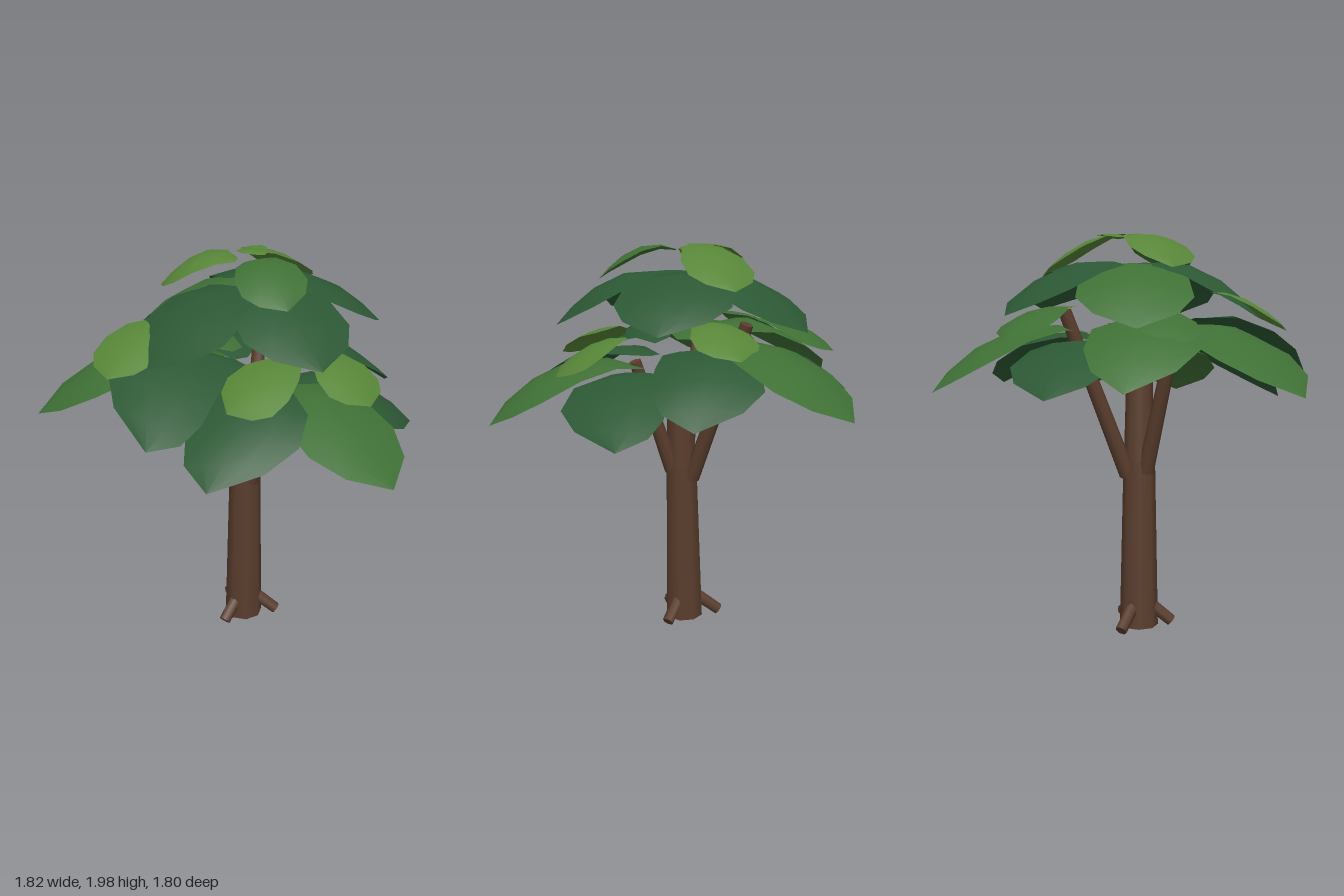
import * as THREE from 'three';

const mat = (color, side = THREE.FrontSide) => new THREE.MeshStandardMaterial({ color, side });
const bark = mat(0x5a3d2d);
const dark = mat(0x2c5834, THREE.DoubleSide);
const mid = mat(0x3f7035, THREE.DoubleSide);
const light = mat(0x578537, THREE.DoubleSide);

// Tapered round limb between two points
function limb(name, from, to, r0, r1, sides = 8) {
  const a = new THREE.Vector3(...from), b = new THREE.Vector3(...to);
  const dir = b.clone().sub(a);
  const mesh = new THREE.Mesh(new THREE.CylinderGeometry(r1, r0, dir.length(), sides), bark);
  mesh.position.copy(a).lerp(b, 0.5);
  mesh.quaternion.setFromUnitVectors(new THREE.Vector3(0, 1, 0), dir.normalize());
  mesh.name = name;
  return mesh;
}

// Pointed leaf: rows of [fraction of length, fraction of half width]
const ROWS = [[0, 0.15], [0.2, 0.62], [0.45, 0.95], [0.69, 1], [0.87, 0.7], [1, 0]];
const COLS = [-1, -0.5, 0, 0.5, 1];

// Leaf arching from base to tip with drooping sides; bend curves it sideways, roll tilts it
function leaf(name, base, tip, width, arch, material, bend = 0, roll = 0) {
  const a = new THREE.Vector3(...base), b = new THREE.Vector3(...tip);
  const across = new THREE.Vector3(b.z - a.z, 0, a.x - b.x).normalize();
  const pos = [], index = [], n = COLS.length;
  ROWS.forEach(([s, w], r) => COLS.forEach((t, c) => {
    const hump = 4 * s * (1 - s);
    const p = a.clone().lerp(b, s).addScaledVector(across, t * w * width + bend * hump);
    p.y += arch * hump - 0.22 * width * (t * w) ** 2 - roll * t * w;
    pos.push(p.x, p.y, p.z);
    if (r && c) {
      const i = r * n + c;
      index.push(i - n - 1, i - 1, i - n, i - n, i - 1, i);
    }
  }));
  const g = new THREE.BufferGeometry();
  g.setAttribute('position', new THREE.Float32BufferAttribute(pos, 3));
  g.setIndex(index);
  g.computeVertexNormals();
  const mesh = new THREE.Mesh(g, material);
  mesh.name = name;
  return mesh;
}

// Ring of leaves; each gives its start (distance from the centre, height), tip, arch, colour, bend, roll
function tier(name, cx, cz, width, list) {
  const group = new THREE.Group();
  group.name = name;
  for (const [offset, y, tip, arch, material, bend, roll] of list) {
    const d = new THREE.Vector2(tip[0] - cx, tip[2] - cz).normalize().multiplyScalar(offset);
    group.add(leaf(name + 'Leaf', [cx + d.x, y, cz + d.y], tip, width, arch, material, bend, roll));
  }
  return group;
}

export function createModel() {
  const tree = new THREE.Group();
  tree.name = 'tree';

  // Trunk and its upper stem
  tree.add(limb('trunk', [-0.068, 0.015, 0.068], [-0.05, 0.87, 0.068], 0.098, 0.08));
  tree.add(limb('upperTrunk', [-0.05, 0.86, 0.068], [-0.037, 1.38, 0.068], 0.078, 0.064));

  // Branches
  for (const [from, to] of [
    [[-0.09, 0.82, 0.1], [-0.245, 1.48, 0.23]],
    [[-0.075, 0.8, 0.01], [-0.2, 1.62, -0.29]],
    [[0.0, 0.84, 0.08], [0.2, 1.42, 0.1]],
  ]) tree.add(limb('branch', from, to, 0.042, 0.032));

  // Roots
  for (const [x, z] of [[-0.23, -0.02], [-0.07, 0.235], [0.085, -0.02]])
    tree.add(limb('root', [-0.068 + (x + 0.068) * 0.3, 0.13, 0.068 + (z - 0.068) * 0.3],
      [x, 0.035, z], 0.033, 0.03, 7));

  // Wide lower crown
  tree.add(tier('lowerCrown', 0, 0.03, 0.255, [
    [0.18, 1.39, [0.905, 1.14, 0.28], 0.15, mid, -0.03],
    [0.14, 1.43, [0.3, 1.16, 0.81], 0.15, dark, 0.11],
    [0.14, 1.5, [0.05, 1.32, 0.9], 0.16, dark, -0.15, 0.07],
    [0.16, 1.5, [-0.75, 1.26, 0.78], 0.17, mid],
    [0.12, 1.5, [-0.91, 1.29, 0.01], 0.19, mid, 0.08],
    [0.16, 1.43, [-0.8, 1.25, -0.33], 0.14, dark, -0.06],
    [0.22, 1.51, [-0.36, 1.24, -0.905], 0.15, mid, -0.04],
    [0.16, 1.47, [0.33, 1.23, -0.67], 0.14, dark, 0.1],
    [0.15, 1.37, [0.6, 1.13, -0.455], 0.12, dark, -0.12],
  ]));

  // Upper crown
  tree.add(tier('upperCrown', -0.02, 0.03, 0.27, [
    [0, 1.82, [-0.36, 1.6, -0.555], 0.13, dark],
    [0, 1.82, [0.39, 1.62, -0.46], 0.13, dark, 0.04],
    [0, 1.82, [0.535, 1.6, 0.29], 0.13, dark, -0.01],
    [0, 1.82, [-0.13, 1.58, 0.66], 0.13, dark],
    [0, 1.82, [-0.64, 1.55, 0.06], 0.13, mid],
  ]));

  // Top tuft and the small leaves between the tiers
  for (const [name, base, tip, m, width, arch, roll] of [
    ['topLeaf', [-0.08, 1.99, 0], [-0.05, 1.79, -0.41], light, 0.175, 0.06, 0],
    ['topLeaf', [-0.08, 1.96, 0.08], [-0.43, 1.82, 0.22], light, 0.165, 0.08, 0.02],
    ['topLeaf', [-0.02, 1.96, 0.07], [0.32, 1.82, 0.24], mid, 0.165, 0.08, -0.02],
    ['topLeaf', [-0.09, 1.985, -0.14], [-0.085, 1.975, 0.01], light, 0.08, 0.01, 0],
    ['smallLeaf', [-0.32, 1.71, 0.4], [-0.29, 1.53, 0.76], light, 0.165, 0.05, 0],
    ['smallLeaf', [0.34, 1.57, 0.18], [0.22, 1.42, 0.56], light, 0.165, 0.05, 0.04],
    ['smallLeaf', [0.31, 1.56, -0.02], [0.65, 1.39, 0.05], light, 0.165, 0.05, 0],
    ['smallLeaf', [-0.27, 1.64, -0.28], [-0.53, 1.5, -0.54], mid, 0.165, 0.05, 0],
    ['smallLeaf', [-0.36, 1.62, 0.15], [-0.69, 1.48, 0.2], mid, 0.165, 0.05, 0],
    ['smallLeaf', [0.02, 1.64, -0.25], [0.03, 1.5, -0.58], light, 0.165, 0.05, 0],
  ]) tree.add(leaf(name, base, tip, width, arch, m, 0, roll));

  return tree;
}
